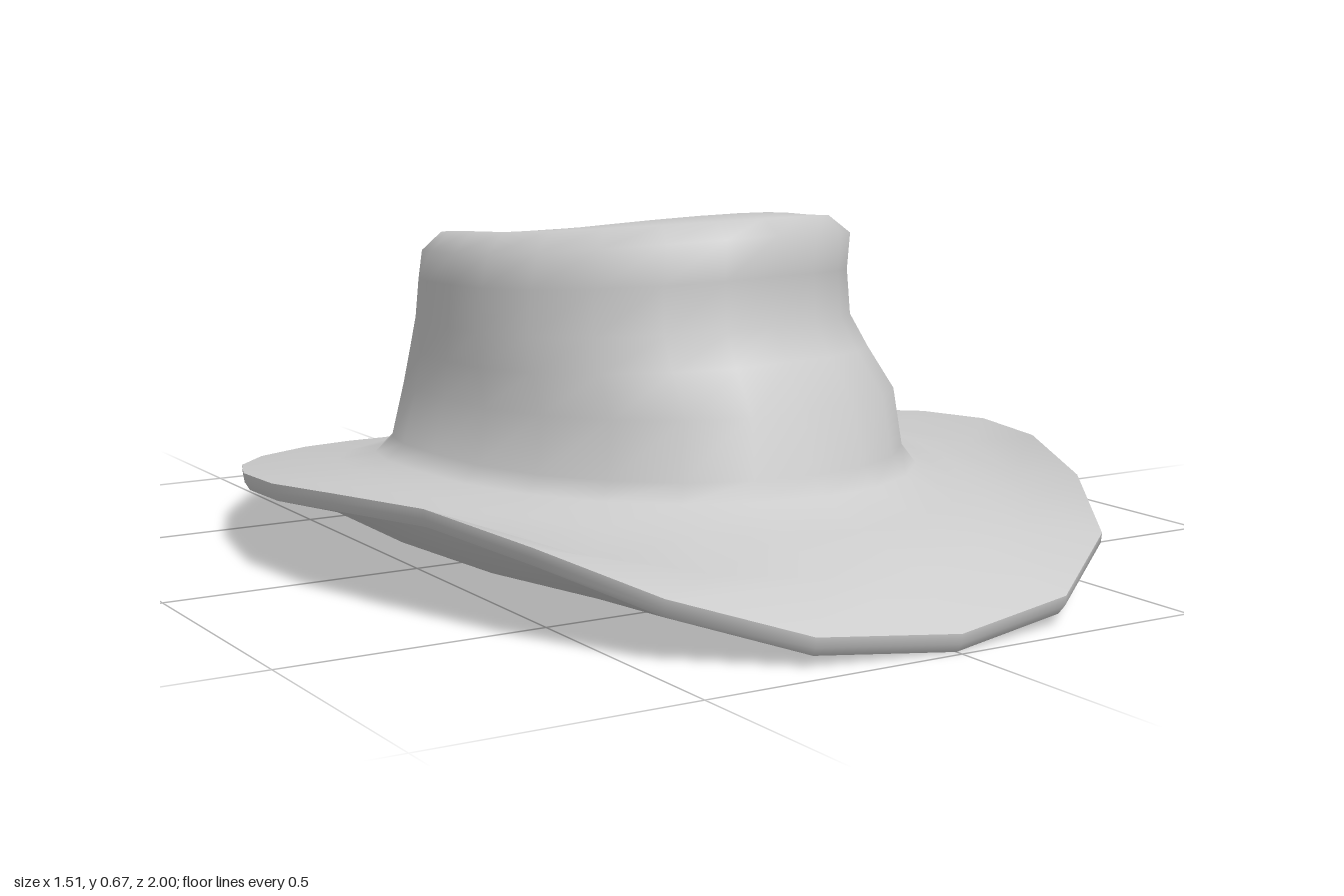
import * as THREE from 'three';

const N = 24; // points around every ring

// Oval ring: reach to the right (+x), left, front (+z), back; heights at front, sides, back;
// bulge swells the quarter between front and -x
function ring(px, nx, zf, zb, yF, yS, yB, bulge = 0) {
  const cz = (zf + zb) / 2, rz = (zf - zb) / 2, pts = [];
  for (let i = 0; i < N; i++) {
    const a = (i / N) * Math.PI * 2, s = Math.sin(a), c = Math.cos(a);
    const y = yS + ((c > 0 ? yF : yB) - yS) * Math.pow(Math.abs(c), 1.3);
    const k = s < 0 && c > 0 ? 1 - 2 * bulge * s * c : 1;
    pts.push([k * s * (s > 0 ? px : nx), y, cz + k * c * rz]);
  }
  return pts;
}

// Half of the brim outline from front to back, x, y, z, mirrored to the other side
const half = [
  [0, 0.038, 1], [0.26, 0.058, 0.955], [0.46, 0.118, 0.82], [0.585, 0.175, 0.61],
  [0.67, 0.207, 0.38], [0.735, 0.2, 0.15], [0.755, 0.18, -0.08], [0.71, 0.152, -0.33],
  [0.63, 0.125, -0.54], [0.51, 0.1, -0.73], [0.34, 0.078, -0.89], [0.2, 0.066, -0.965], [0, 0.056, -1],
];
const edge = (drop, scale = 1) => [...half, ...half.slice(1, -1).reverse().map(([x, y, z]) => [-x, y, z])]
  .map(([x, y, z]) => [x * scale, y - drop, z * scale]);

// Smooth skin over a list of rings; a one-point ring closes an end
function skin(name, rings, material) {
  const pos = [], idx = [], start = [];
  for (const r of rings) {
    start.push(pos.length / 3);
    r.forEach((p) => pos.push(...p));
  }
  for (let k = 0; k < rings.length - 1; k++) {
    for (let i = 0; i < N; i++) {
      const j = (i + 1) % N;
      const at = (r, n) => start[r] + (rings[r].length === 1 ? 0 : n);
      const a = at(k, i), b = at(k, j), c = at(k + 1, j), d = at(k + 1, i);
      if (a !== b) idx.push(a, b, c);
      if (c !== d) idx.push(a, c, d);
    }
  }
  const g = new THREE.BufferGeometry();
  g.setAttribute('position', new THREE.Float32BufferAttribute(pos, 3));
  g.setIndex(idx);
  g.computeVertexNormals();
  const mesh = new THREE.Mesh(g, material);
  mesh.name = name;
  return mesh;
}

export function createModel() {
  const felt = new THREE.MeshStandardMaterial({ color: 0xcccccc });
  const hat = new THREE.Group();
  hat.name = 'hat';

  // Upper surface: brim, pinched crown wall, broad rounded rim, dished top
  hat.add(skin('brimTopAndCrown', [
    edge(0),
    ring(0.66, 0.66, 0.88, -0.88, 0.118, 0.182, 0.085),
    ring(0.56, 0.56, 0.72, -0.75, 0.158, 0.177, 0.108),
    ring(0.49, 0.485, 0.61, -0.67, 0.195, 0.185, 0.13),
    ring(0.465, 0.45, 0.58, -0.64, 0.23, 0.215, 0.165, 0.02),
    ring(0.46, 0.418, 0.55, -0.63, 0.34, 0.315, 0.28, 0.06),
    ring(0.42, 0.408, 0.49, -0.59, 0.42, 0.385, 0.36, 0.1),
    ring(0.385, 0.403, 0.455, -0.555, 0.48, 0.45, 0.42, 0.11),
    ring(0.375, 0.4, 0.45, -0.54, 0.57, 0.53, 0.49, 0.09),
    ring(0.373, 0.398, 0.46, -0.525, 0.645, 0.59, 0.545, 0.06),
    ring(0.335, 0.36, 0.415, -0.485, 0.672, 0.63, 0.575, 0.03),
    ring(0.28, 0.305, 0.33, -0.42, 0.675, 0.622, 0.582),
    ring(0.2, 0.22, 0.22, -0.32, 0.64, 0.607, 0.58),
    [[0, 0.6, -0.04]],
  ], felt));

  // Brim rim, tucked in underneath
  hat.add(skin('brimEdge', [edge(0.034, 0.985), edge(0.018, 0.998), edge(0)], felt));

  // Inside of the crown and underside of the brim
  hat.add(skin('liningAndUnderside', [
    [[0, 0.49, -0.04]],
    ring(0.2, 0.22, 0.24, -0.32, 0.5, 0.485, 0.47),
    ring(0.29, 0.31, 0.36, -0.43, 0.495, 0.475, 0.455),
    ring(0.33, 0.355, 0.4, -0.485, 0.47, 0.445, 0.42, 0.06),
    ring(0.345, 0.36, 0.42, -0.51, 0.42, 0.39, 0.365, 0.08),
    ring(0.39, 0.375, 0.48, -0.565, 0.33, 0.3, 0.27, 0.06),
    ring(0.415, 0.395, 0.52, -0.585, 0.17, 0.13, 0.09, 0.02),
    ring(0.435, 0.42, 0.545, -0.6, 0.1, 0.07, 0.03),
    ring(0.56, 0.56, 0.72, -0.75, 0.075, 0.098, 0.024),
    ring(0.66, 0.66, 0.88, -0.88, 0.045, 0.13, 0.022),
    edge(0.034, 0.985),
  ], felt));

  return hat;
}
